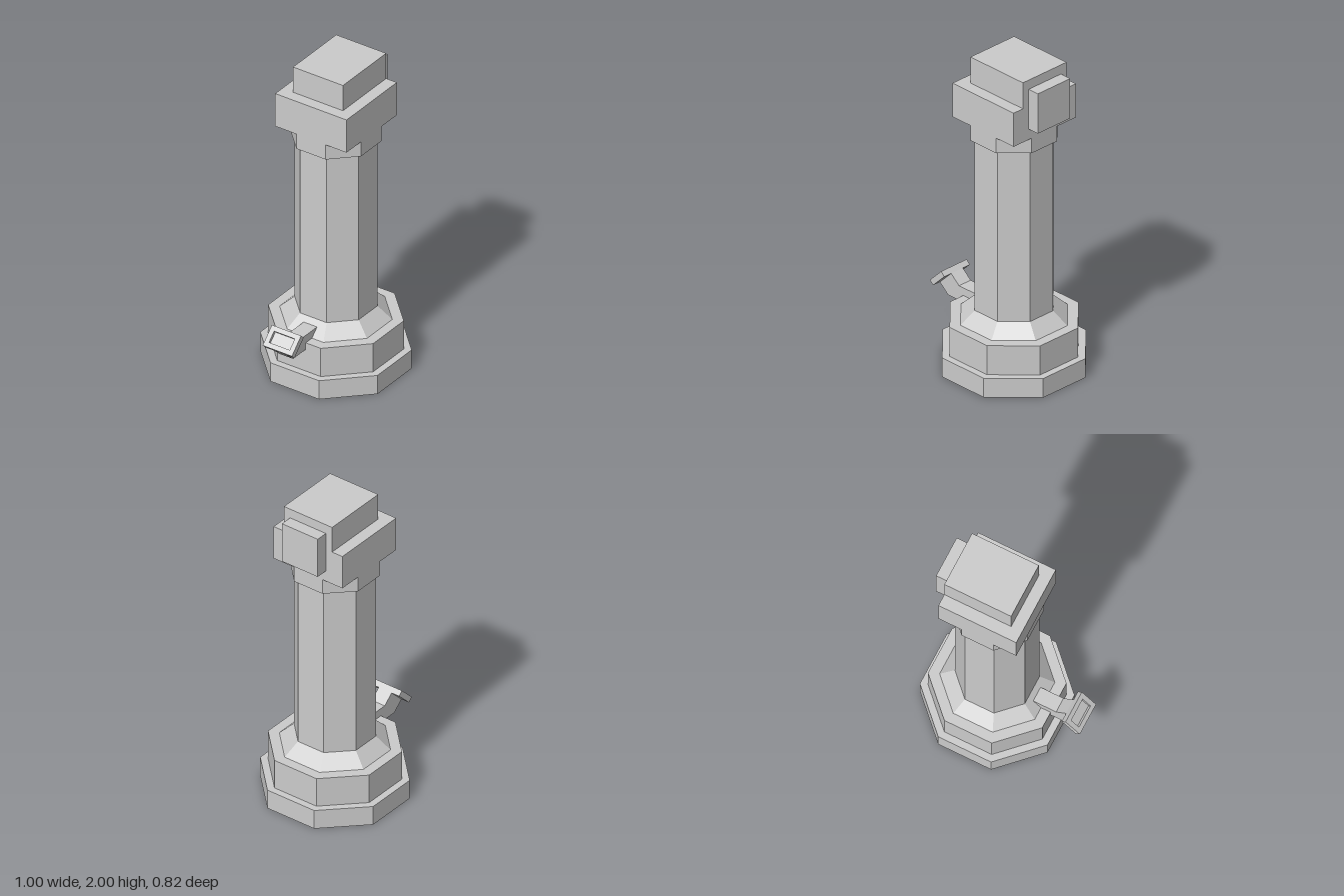
import * as THREE from 'three';

const AXIS_X = 0.083; // the pillar stands slightly off centre

export function createModel() {
  const model = new THREE.Group();
  const material = new THREE.MeshStandardMaterial({ color: 0xcccccc, flatShading: true });

  const add = (name, geometry, parent = model) => {
    const mesh = new THREE.Mesh(geometry, material);
    mesh.name = name;
    parent.add(mesh);
    return mesh;
  };

  // Octagonal section, sized across its flats
  const octagon = (name, y0, y1, bottom, top = bottom) => {
    const k = 1 / Math.cos(Math.PI / 8);
    const geometry = new THREE.CylinderGeometry(top * k, bottom * k, y1 - y0, 8);
    geometry.rotateY(Math.PI / 8);
    geometry.translate(AXIS_X, (y0 + y1) / 2, 0);
    return add(name, geometry);
  };

  const box = (name, x0, x1, y0, y1, halfZ) => {
    const geometry = new THREE.BoxGeometry(x1 - x0, y1 - y0, halfZ * 2);
    geometry.translate((x0 + x1) / 2, (y0 + y1) / 2, 0);
    return add(name, geometry);
  };

  // Stepped foot, sloped shoulder, column and collar
  octagon('foot', 0, 0.125, 0.411);
  octagon('plinth', 0.125, 0.315, 0.368);
  octagon('shoulder', 0.315, 0.395, 0.306, 0.225);
  octagon('column', 0.395, 1.51, 0.225);
  octagon('collar', 1.51, 1.61, 0.248);

  // Head with its cap and side panel
  box('head', -0.167, 0.334, 1.61, 1.83, 0.25);
  box('headCap', -0.096, 0.334, 1.83, 2.0, 0.175);
  box('sidePanel', 0.334, 0.41, 1.68, 1.94, 0.13);

  // Bent spout arm, extruded across z
  const arm = new THREE.Shape([
    [-0.13, 0.27], [-0.13, 0.365], [-0.32, 0.365],
    [-0.384, 0.42], [-0.476, 0.328], [-0.41, 0.27],
  ].map(([x, y]) => new THREE.Vector2(x, y)));
  const armGeometry = new THREE.ExtrudeGeometry(arm, { depth: 0.094, bevelEnabled: false });
  armGeometry.translate(0, 0, -0.047);
  add('spoutArm', armGeometry);

  // Spout head: a tilted slab with a shallow rectangular recess
  const rectangle = (Type, w, h) => new Type([
    new THREE.Vector2(-w / 2, -h / 2), new THREE.Vector2(w / 2, -h / 2),
    new THREE.Vector2(w / 2, h / 2), new THREE.Vector2(-w / 2, h / 2),
  ]);
  const spoutHead = new THREE.Group();
  spoutHead.name = 'spoutHead';
  const rim = rectangle(THREE.Shape, 0.205, 0.13);
  rim.holes.push(rectangle(THREE.Path, 0.145, 0.071));
  const rimGeometry = new THREE.ExtrudeGeometry(rim, { depth: 0.018, bevelEnabled: false });
  rimGeometry.translate(0, 0, 0.018);
  add('spoutRim', rimGeometry, spoutHead);
  const back = new THREE.BoxGeometry(0.205, 0.13, 0.018);
  back.translate(0, 0, 0.009);
  add('spoutBack', back, spoutHead);

  // Local z points outward and up, away from the pillar
  const s = Math.SQRT1_2;
  spoutHead.quaternion.setFromRotationMatrix(new THREE.Matrix4().makeBasis(
    new THREE.Vector3(0, 0, 1), new THREE.Vector3(s, s, 0), new THREE.Vector3(-s, s, 0)));
  spoutHead.position.set(-0.43, 0.374, 0);
  model.add(spoutHead);

  return model;
}
